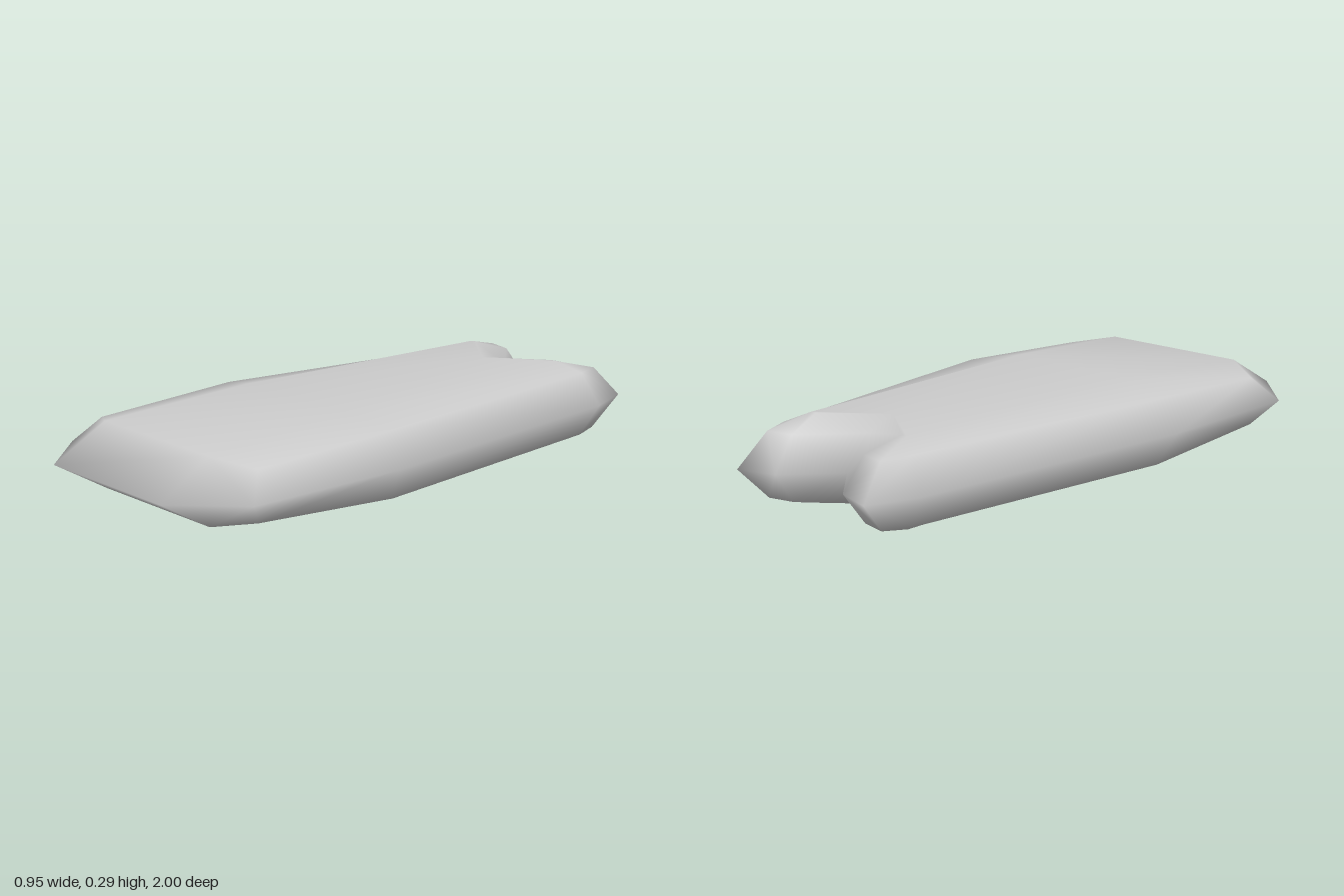
import * as THREE from 'three';
import { mergeVertices } from 'three/addons/utils/BufferGeometryUtils.js';

const MID = 0.147;

// Half outlines [x, height above middle, z], from the front edge round to the rear notch
const rim = [[0.28, 0, 1], [0.475, 0, 0.8], [0.475, 0, 0.23], [0.345, 0, -0.83],
  [0.28, 0, -1], [0.15, 0, -0.96], [0, 0, -0.8]];
const shoulder = [[0.27, 0.111, 0.81], [0.405, 0.083, 0.73], [0.415, 0.111, 0.2], [0.285, 0.111, -0.8],
  [0.25, 0.108, -0.9], [0.16, 0.108, -0.88], [0, 0.108, -0.71]];
const face = [[0.24, 0.147, 0.25], [0.24, 0.147, 0.25], [0.24, 0.147, 0.25], [0.21, 0.147, -0.75],
  [0.21, 0.147, -0.75], [0.19, 0.147, -0.75], [0, 0.147, -0.6]];

// Mirror a half outline into a closed loop; side is +1 for top, -1 for bottom
function loop(half, side) {
  const right = half.map(([x, y, z]) => [x, MID + side * y, z]);
  const left = right.slice(0, -1).reverse().map(([x, y, z]) => [-x, y, z]);
  return [...right, ...left];
}

function createBody() {
  const rings = [loop(face, -1), loop(shoulder, -1), loop(rim, 1), loop(shoulder, 1), loop(face, 1)];
  const n = rings[0].length;
  const notch = rim.length - 1;
  const top = (rings.length - 1) * n;
  const index = [];

  // Bevelled sides
  for (let r = 0; r < rings.length - 1; r++) {
    for (let i = 0; i < n; i++) {
      const a = r * n + i, b = r * n + (i + 1) % n;
      // Diagonals are mirrored so both halves match
      if ((i < notch) === (r < 2)) index.push(a, b, b + n, a, b + n, a + n);
      else index.push(a, b, a + n, b, b + n, a + n);
    }
  }
  // Flat top and bottom, fanned from the notch
  for (let i = 0; i < n; i++) {
    const j = (i + 1) % n;
    if (i === notch || j === notch) continue;
    index.push(top + notch, top + i, top + j, notch, j, i);
  }

  const geometry = new THREE.BufferGeometry();
  geometry.setAttribute('position', new THREE.Float32BufferAttribute(rings.flat(2), 3));
  geometry.setIndex(index);
  const merged = mergeVertices(geometry);
  merged.computeVertexNormals();
  return merged;
}

export function createModel() {
  const group = new THREE.Group();
  group.name = 'notchedSlab';
  const body = new THREE.Mesh(createBody(), new THREE.MeshStandardMaterial({ color: 0xcccccc }));
  body.name = 'body';
  group.add(body);
  return group;
}
